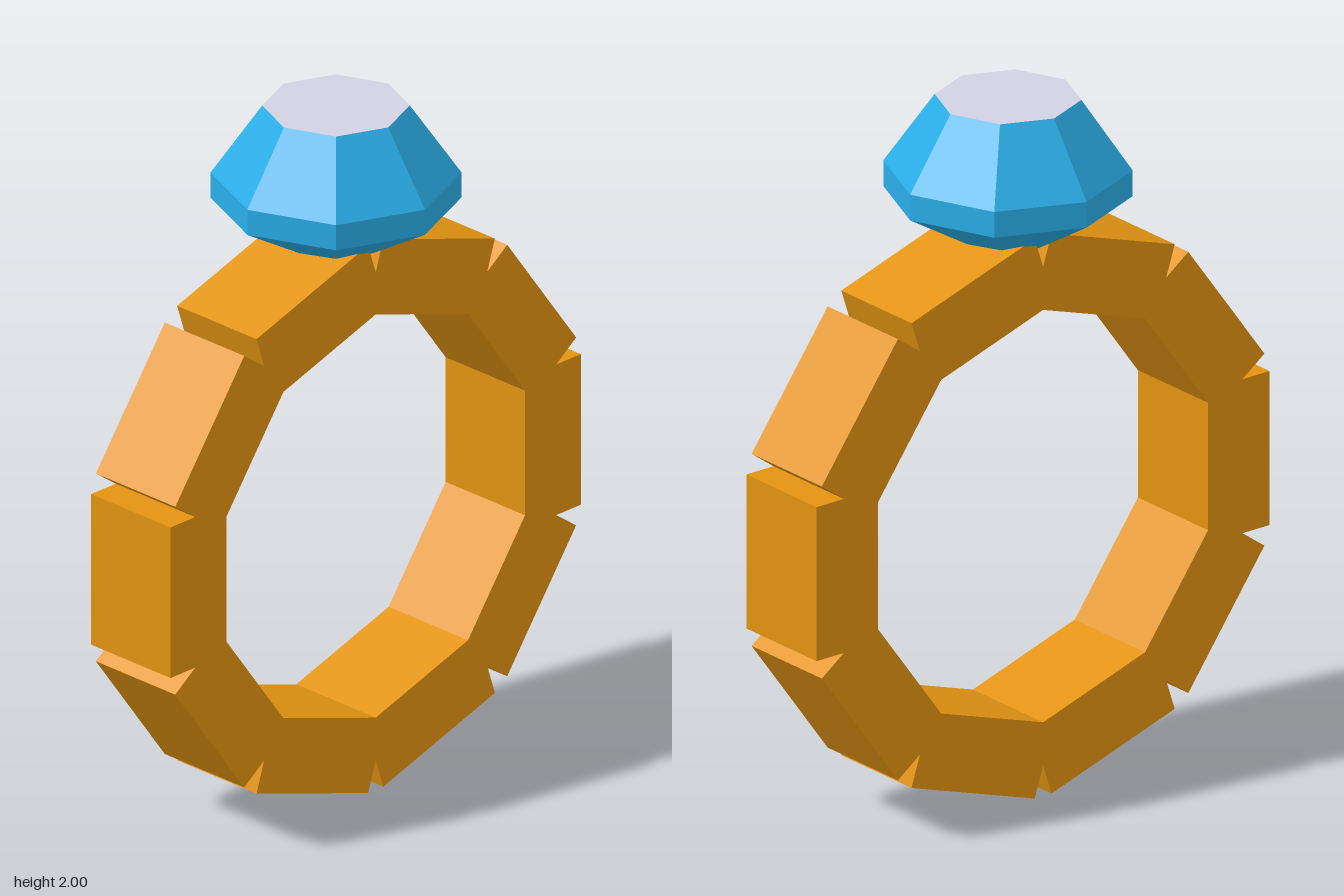
import * as THREE from 'three';

const gold = new THREE.MeshStandardMaterial({ color: 0xe39412 });
gold.name = 'gold';
const blue = new THREE.MeshStandardMaterial({ color: 0x2ab0ea });
blue.name = 'gem blue';
const pale = new THREE.MeshStandardMaterial({ color: 0xd1d1e2 });
pale.name = 'pale facet';

const SIDES = 10, CENTRE_Y = 0.823, DEPTH = 0.304;
const OUTER = 0.787, INNER = 0.573, HALF = 0.225; // face distances and half block length

function addMesh(group, name, geometry, material) {
  const mesh = new THREE.Mesh(geometry, material);
  mesh.name = name;
  group.add(mesh);
  return mesh;
}

const polar = (r, a) => new THREE.Vector2(r * Math.cos(a), r * Math.sin(a));

// Ten straight blocks joined into one band, with a V notch between neighbours
function bandGeometry() {
  const half = Math.PI / SIDES;
  const outline = [], hole = [];
  const cornerRadius = Math.hypot(OUTER, HALF), cornerAngle = Math.atan2(HALF, OUTER);
  for (let i = 0; i < SIDES; i++) {
    const a = i * 2 * half;
    outline.push(
      polar(cornerRadius, a - cornerAngle),
      polar(cornerRadius, a + cornerAngle),
      polar(HALF / Math.sin(half), a + half),
    );
    hole.push(polar(INNER / Math.cos(half), a + half));
  }
  const shape = new THREE.Shape(outline);
  shape.holes.push(new THREE.Path(hole.reverse()));
  const geometry = new THREE.ExtrudeGeometry(shape, { depth: DEPTH, bevelEnabled: false });
  return geometry.translate(0, CENTRE_Y, -DEPTH / 2);
}

// Faceted stone: pointed pavilion, upright girdle and sloping crown
function gemGeometry() {
  const profile = [[0, 1.52], [0.34, 1.725], [0.34, 1.8], [0.2, 2]]
    .map(([r, y]) => new THREE.Vector2(r, y));
  const geometry = new THREE.LatheGeometry(profile, 8).toNonIndexed();
  geometry.computeVertexNormals();
  return geometry;
}

export function createModel() {
  const ring = new THREE.Group();
  ring.name = 'gemRing';
  addMesh(ring, 'band', bandGeometry(), gold);
  addMesh(ring, 'gem', gemGeometry(), blue);
  // Flat table closing the top of the stone
  addMesh(ring, 'gemTable', new THREE.CircleGeometry(0.2, 8).rotateX(-Math.PI / 2).translate(0, 2, 0), pale);
  return ring;
}
